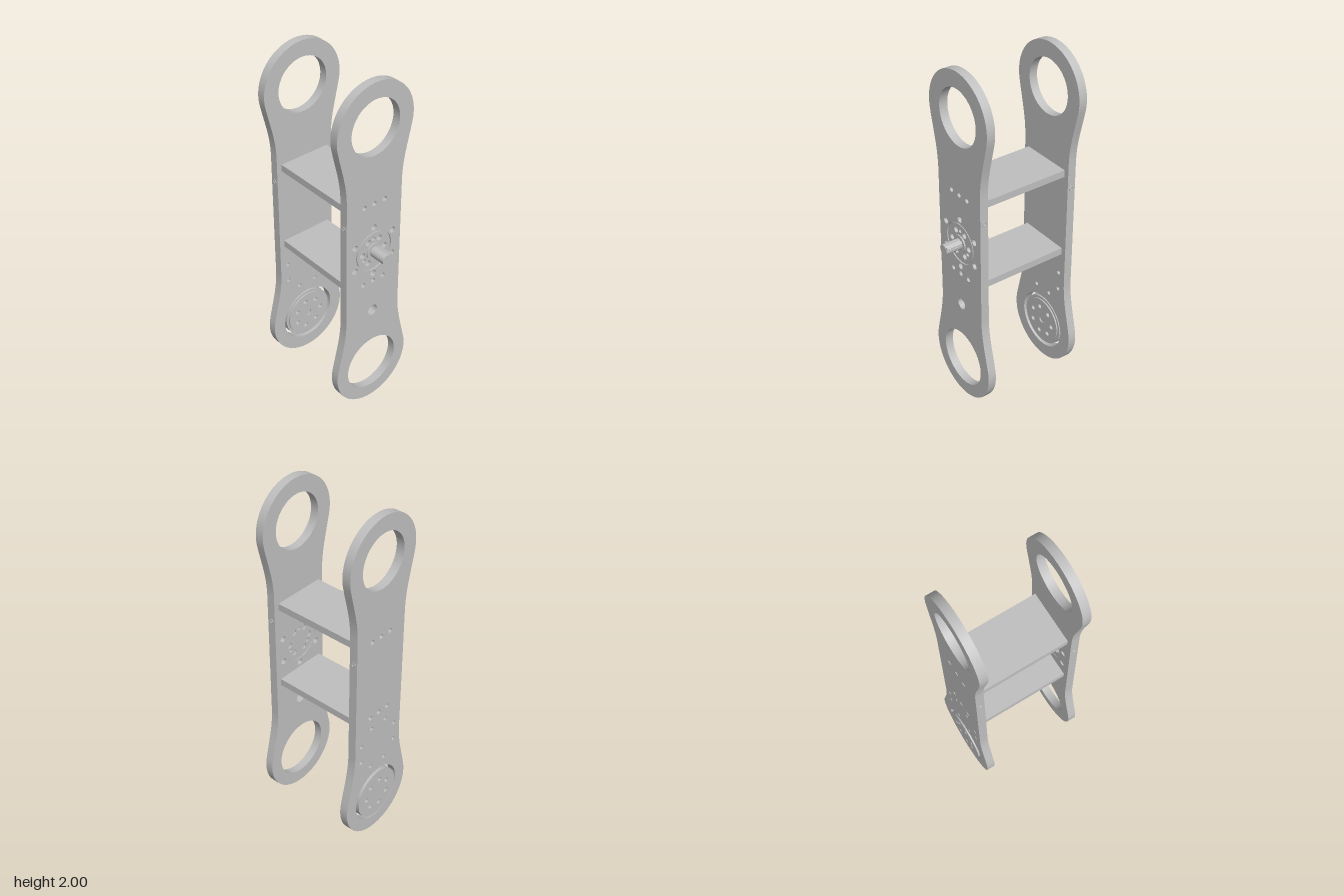
import * as THREE from 'three';
import { toCreasedNormals } from 'three/addons/utils/BufferGeometryUtils.js';

const metal = new THREE.MeshStandardMaterial({ color: 0xbfbfbf });
metal.name = 'grey metal';

// Profiles are drawn in (u, y) with u = -z, and extruded along x from x0 to x1.
function slab(name, shape, x0, x1, holes = []) {
  for (const [u, y, r] of holes) {
    const hole = new THREE.Path();
    hole.absarc(u, y, r, 0, Math.PI * 2, true);
    shape.holes.push(hole);
  }
  const geo = new THREE.ExtrudeGeometry(shape, { depth: x1 - x0, bevelEnabled: false, curveSegments: 28 });
  geo.rotateY(Math.PI / 2).translate(x0, 0, 0);
  const mesh = new THREE.Mesh(toCreasedNormals(geo, 0.6), metal);
  mesh.name = name;
  return mesh;
}

function disc(y, r) {
  const s = new THREE.Shape();
  s.absarc(0, y, r, 0, Math.PI * 2, false);
  return s;
}

// Ring of n holes around (0, y)
function ring(n, y, radius, r, startDeg = 0) {
  return Array.from({ length: n }, (_, i) => {
    const a = (startDeg + i * 360 / n) * Math.PI / 180;
    return [radius * Math.cos(a), y + radius * Math.sin(a), r];
  });
}

const row = (y, r) => [-0.068, 0, 0.068].map(u => [u, y, r]);

// Waisted side plate with a round lobe at each end
function linkShape() {
  const s = new THREE.Shape();
  const a = Math.PI / 15, r = 0.245, top = 1.755, bot = 0.245, w = 0.183;
  const px = r * Math.cos(a), dy = r * Math.sin(a);
  s.absarc(0, top, r, -a, Math.PI + a, false);
  s.bezierCurveTo(-0.215, 1.587, -w, 1.5, -w, 1.38);
  s.lineTo(-w, 0.62);
  s.bezierCurveTo(-w, 0.5, -0.215, 0.413, -px, bot + dy);
  s.absarc(0, bot, r, Math.PI - a, 2 * Math.PI + a, false);
  s.bezierCurveTo(0.215, 0.413, w, 0.5, w, 0.62);
  s.lineTo(w, 1.38);
  s.bezierCurveTo(w, 1.5, 0.215, 1.587, px, top - dy);
  return s;
}

export function createModel() {
  const model = new THREE.Group();
  model.name = 'armLink';

  // Side plates
  const common = [[0, 1.755, 0.155], [0, 0.247, 0.17], ...row(1.315, 0.014), ...row(0.825, 0.014)];
  model.add(slab('drivePlate', linkShape(), 0.205, 0.253, [
    ...common, [0, 1.02, 0.12], [0, 0.622, 0.032], ...ring(6, 1.02, 0.147, 0.018, 30)]));
  model.add(slab('idlerPlate', linkShape(), -0.353, -0.305, [
    ...common, ...ring(8, 0.61, 0.145, 0.012, 22.5)]));

  // Cross shelves, bored lengthwise for the bolts
  for (const y of [1.315, 0.822]) {
    const s = new THREE.Shape();
    s.moveTo(-0.153, y - 0.02);
    s.lineTo(0.153, y - 0.02);
    s.lineTo(0.153, y + 0.02);
    s.lineTo(-0.153, y + 0.02);
    s.closePath();
    model.add(slab('crossShelf', s, -0.305, 0.205, row(y, 0.008)));
  }

  // Gearbox face, with a narrow groove round it
  model.add(slab('gearboxFace', disc(1.02, 0.112), 0.209, 0.252, [
    ...ring(6, 1.02, 0.075, 0.017), ...ring(3, 1.02, 0.075, 0.011, 90)]));
  model.add(slab('gearboxRim', disc(1.02, 0.12), 0.209, 0.245, [[0, 1.02, 0.112]]));
  model.add(slab('gearboxBack', disc(1.02, 0.112), 0.218, 0.226));

  // Output shaft with boss and key
  model.add(slab('shaftBoss', disc(1.02, 0.049), 0.25, 0.26));
  model.add(slab('outputShaft', disc(1.02, 0.03), 0.255, 0.357));
  const key = new THREE.Mesh(new THREE.BoxGeometry(0.092, 0.014, 0.018), metal);
  key.name = 'shaftKey';
  key.position.set(0.309, 1.039, -0.025);
  key.rotation.x = Math.PI / 4;
  model.add(key);

  // Bearing disc in the lower lobe: wide outer step, narrower inner step
  const bolts = ring(7, 0.247, 0.088, 0.014);
  model.add(slab('bearingDisc', disc(0.247, 0.153), -0.36, -0.31, bolts));
  model.add(slab('bearingHub', disc(0.247, 0.138), -0.31, -0.302, [...bolts, [0, 0.247, 0.02]]));

  // Threaded hole rims on the plate edges
  for (const x of [-0.329, 0.229]) for (const side of [1, -1]) {
    const rim = new THREE.Mesh(new THREE.TorusGeometry(0.011, 0.003, 8, 24), metal);
    rim.name = 'edgeHoleRim';
    rim.position.set(x, 1.23, side * 0.183);
    model.add(rim);
  }
  return model;
}
